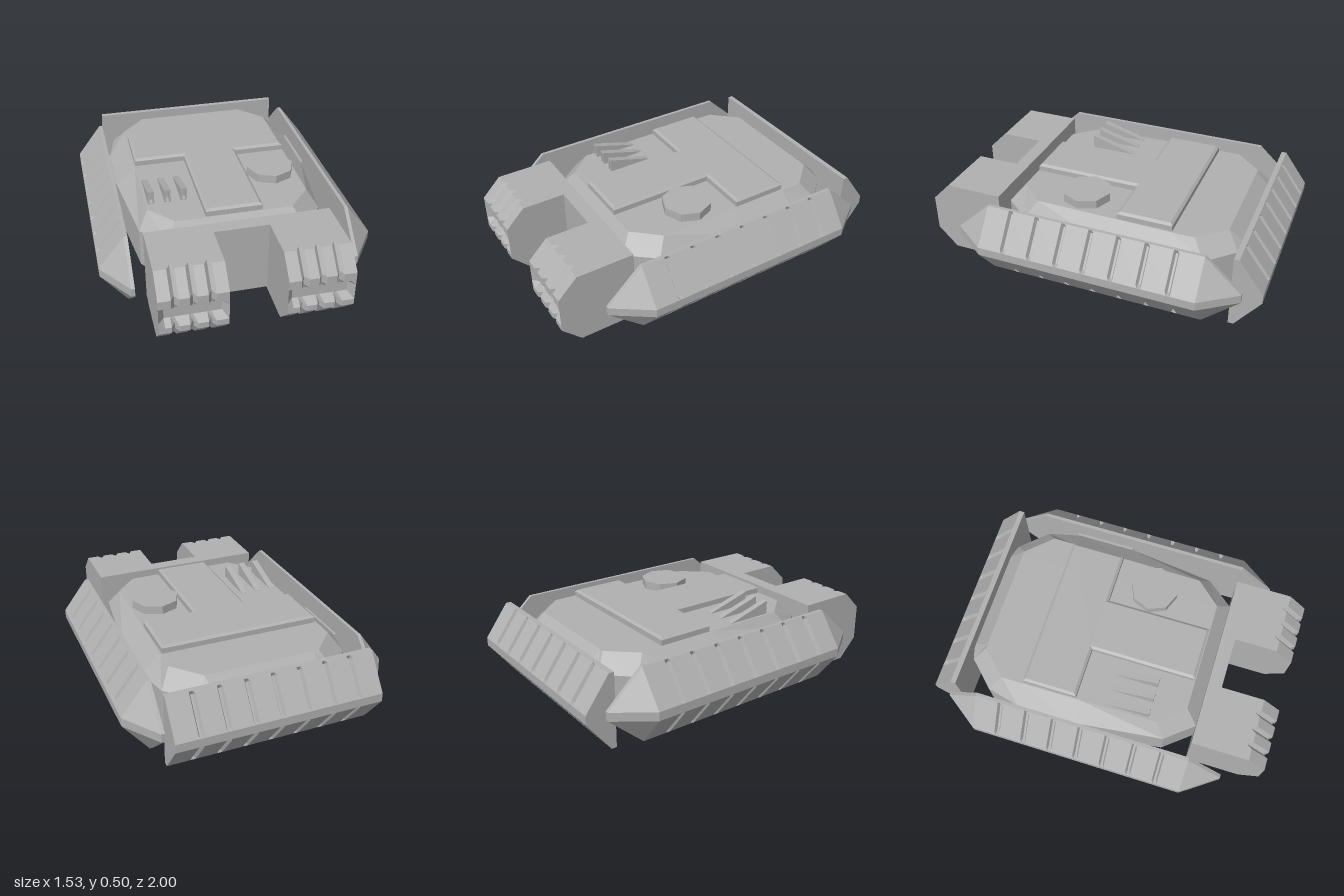
import * as THREE from 'three';

const grey = new THREE.MeshStandardMaterial({ color: 0xb0b0b0 });
grey.name = 'armourGrey';

// Skin a list of equal-length rings of [x, y, z] points, cap both ends, keep hard edges
function loft(rings) {
  const n = rings[0].length, pts = rings.flat(), idx = [];
  for (let r = 0; r < rings.length - 1; r++) {
    for (let i = 0; i < n; i++) {
      const a = r * n + i, b = r * n + (i + 1) % n;
      idx.push(a, b, b + n, a, b + n, a + n);
    }
  }
  const last = (rings.length - 1) * n;
  for (let i = 1; i < n - 1; i++) {
    idx.push(0, i + 1, i, last, last + i, last + i + 1);
  }
  // Turn the faces outward when the enclosed volume comes out negative
  const v = pts.map(p => new THREE.Vector3(...p));
  let volume = 0;
  for (let i = 0; i < idx.length; i += 3) {
    volume += v[idx[i]].dot(v[idx[i + 1]].clone().cross(v[idx[i + 2]]));
  }
  if (volume < 0) idx.reverse();
  const g = new THREE.BufferGeometry();
  g.setAttribute('position', new THREE.Float32BufferAttribute(pts.flat(), 3));
  g.setIndex(idx);
  const flat = g.toNonIndexed();
  flat.computeVertexNormals();
  return flat;
}

// Tread bar running along z and bulging towards +x, with grooves across both slopes
function treadBar(half, tip, lip, depth, spacing) {
  const section = (z, cut) => {
    const slope = (t, s) => {
      const x = lip + (depth - lip) * t - cut * 0.8;
      return s > 0 ? [x, 0.44 - 0.19 * t - cut * 0.6, z] : [x, 0.015 + 0.185 * t + cut * 0.6, z];
    };
    return [[0, 0.015, z], [lip, 0.015, z], slope(0.06, -1), slope(0.92, -1), [depth, 0.2, z],
      [depth, 0.25, z], slope(0.92, 1), slope(0.06, 1), [lip, 0.44, z], [0, 0.44, z]];
  };
  const end = z => [0, lip, lip, lip, lip, lip, lip, lip, lip, 0]
    .map((x, i) => [x, i < 5 ? 0.2 : 0.25, z]);
  const rings = [];
  if (tip > half) rings.push(end(-tip));
  rings.push(section(-half, 0));
  for (let k = -3; k <= 3; k++) {
    const z = k * spacing;
    rings.push(section(z - 0.016, 0), section(z - 0.006, 0.022),
      section(z + 0.006, 0.022), section(z + 0.016, 0));
  }
  rings.push(section(half, 0));
  if (tip > half) rings.push(end(tip));
  return loft(rings);
}

// Front pod running along x, with a long front pocket and notched teeth
function frontPod() {
  const ring = (x, cut, pocket) => [
    [x, 0.44, 0.6], [x, 0.44, 0.89 - cut], [x, 0.33, 1 - cut], [x, 0.28, 1 - cut],
    [x, 0.25, 1 - pocket], [x, 0.19, 1 - pocket], [x, 0.155, 1 - cut], [x, 0.12, 1 - cut],
    [x, 0.005, 0.89 - cut], [x, 0.005, 0.6]];
  const rings = [ring(-0.182, 0, 0), ring(-0.15, 0, 0.04)];
  for (const x of [-0.095, 0, 0.095]) {
    rings.push(ring(x - 0.02, 0, 0.04), ring(x, 0.032, 0.04), ring(x + 0.02, 0, 0.04));
  }
  rings.push(ring(0.15, 0, 0.04), ring(0.182, 0, 0));
  return loft(rings);
}

// Bevelled hull from stacked outlines
function hullGeometry() {
  const outer = [[0.3, -0.84], [0.39, -0.81], [0.535, -0.66], [0.582, -0.46],
    [0.582, -0.11], [0.52, 0.4], [0.39, 0.56]];
  const inner = [[0.3, -0.74], [0.33, -0.74], [0.47, -0.59], [0.47, -0.46],
    [0.465, -0.12], [0.46, 0.34], [0.33, 0.485]];
  const outline = (half, y) => [
    ...half.map(([x, z]) => [x, y, z]),
    ...half.slice().reverse().map(([x, z]) => [-x, y, z])];
  return loft([outline(inner, 0.015), outline(outer, 0.11),
    outline(outer, 0.34), outline(inner, 0.432)]);
}

// T-shaped raised deck
function deckGeometry() {
  const half = [[0.16, -0.48], [0.16, 0.14], [0.46, 0.14], [0.46, 0.46]];
  const shape = new THREE.Shape([...half, ...half.slice().reverse().map(([x, y]) => [-x, y])]
    .map(([x, y]) => new THREE.Vector2(x, y)));
  const g = new THREE.ExtrudeGeometry(shape, {
    depth: 0.035, bevelEnabled: true, bevelSegments: 1,
    bevelThickness: 0.012, bevelSize: 0.015, bevelOffset: -0.015 });
  return g.rotateX(-Math.PI / 2).translate(0, 0.428, 0);
}

// Wedge-shaped vent with a hollow front
function ventGeometry() {
  const rect = (w, low, high, z) => [[-w, low, z], [w, low, z], [w, high, z], [-w, high, z]];
  return loft([rect(0.009, 0.436, 0.497, 0.25), rect(0.009, 0.436, 0.497, 0.29),
    rect(0.018, 0.42, 0.51, 0.29), rect(0.018, 0.42, 0.434, 0.03)]);
}

export function createModel() {
  const model = new THREE.Group();
  model.name = 'armouredVehicle';
  const add = (name, geometry, x = 0, y = 0, z = 0, turn = 0) => {
    const mesh = new THREE.Mesh(geometry, grey);
    mesh.name = name;
    mesh.position.set(x, y, z);
    mesh.rotation.y = turn;
    model.add(mesh);
  };

  add('hull', hullGeometry());
  add('raisedDeck', deckGeometry());

  // Deck fittings
  const hatch = new THREE.CylinderGeometry(0.14, 0.14, 0.06, 8).toNonIndexed();
  hatch.computeVertexNormals();
  add('hatch', hatch, 0.31, 0.452, 0.1);
  const vent = ventGeometry();
  for (const x of [-0.43, -0.337, -0.244]) add('vent', vent, x);

  // Front wall and pods
  add('frontWall', new THREE.BoxGeometry(1.036, 0.425, 0.08), 0, 0.2275, 0.6);
  const pod = frontPod();
  const track = treadBar(0.63, 0.835, 0.02, 0.165, 0.16);
  for (const side of [1, -1]) {
    const name = side > 0 ? 'left' : 'right';
    add(name + 'FrontPod', pod, side * 0.336);
    add(name + 'Tread', track, side * 0.6, 0, -0.06, side > 0 ? 0 : Math.PI);
    add(name + 'Mount', new THREE.BoxGeometry(0.1, 0.22, 0.36), side * 0.552, 0.225, -0.3);
  }

  // Rear tread
  add('rearTread', treadBar(0.585, 0, 0.03, 0.17, 0.148), 0, 0, -0.83, Math.PI / 2);
  return model;
}
